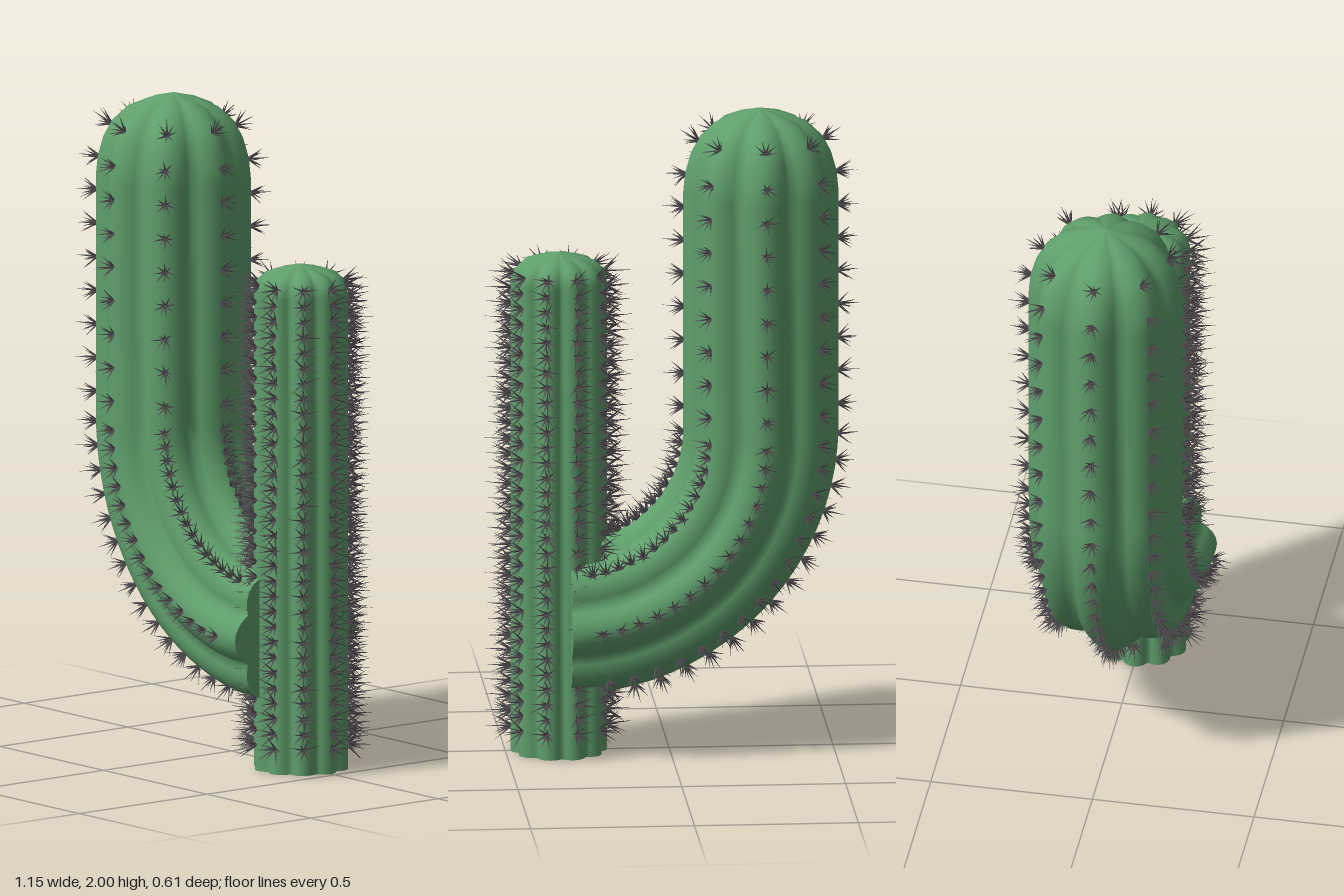
import * as THREE from 'three';
import { mergeGeometries } from 'three/addons/utils/BufferGeometryUtils.js';

const SIDE = new THREE.Vector3(0, 0, -1);
const UP = new THREE.Vector3(0, 1, 0);

// Small seeded generator for spine jitter
let seed = 7;
const rand = () => (seed = (seed * 16807) % 2147483647) / 2147483647;

// A frame on a stem's axis: point, direction and two cross axes
function makeFrame(x, y, tx, ty) {
  const t = new THREE.Vector3(tx, ty, 0);
  return { p: new THREE.Vector3(x, y, 0), t, n: SIDE.clone().cross(t), b: SIDE };
}

const around = (f, a) =>
  f.n.clone().multiplyScalar(Math.cos(a)).addScaledVector(f.b, Math.sin(a));

// Ribbed skin: rings of [distance along the axis, radius], closed at both ends
function ribbedStem(frameAt, rings, ribs, depth) {
  const seg = ribs * 8;
  const pos = [];
  const index = [];
  const addRing = ([s, r]) => {
    const f = frameAt(s);
    for (let j = 0; j < seg; j++) {
      const a = (j / seg) * Math.PI * 2;
      const k = 1 - depth * (1 - Math.abs(Math.cos((a * ribs) / 2)));
      pos.push(...f.p.clone().addScaledVector(around(f, a), r * k).toArray());
    }
  };
  rings.forEach(addRing);
  for (let i = 0; i < rings.length - 1; i++) {
    for (let j = 0; j < seg; j++) {
      const k = (j + 1) % seg;
      const a = i * seg + j, b = i * seg + k;
      index.push(a, b, a + seg, b, b + seg, a + seg);
    }
  }
  // Flat end cap with its own vertices
  const base = pos.length / 3;
  addRing(rings[0]);
  pos.push(...frameAt(rings[0][0]).p.toArray());
  for (let j = 0; j < seg; j++) index.push(base + seg, base + ((j + 1) % seg), base + j);
  const g = new THREE.BufferGeometry();
  g.setAttribute('position', new THREE.Float32BufferAttribute(pos, 3));
  g.setIndex(index);
  g.computeVertexNormals();
  return g;
}

// Star-shaped spine clusters along every rib; stations are [distance, radius, tilt]
function spineClusters(frameAt, stations, ribs, length) {
  const parts = [];
  for (const [s, r, tilt] of stations) {
    const f = frameAt(s);
    for (let i = 0; i < ribs; i++) {
      const a = (i / ribs) * Math.PI * 2;
      const radial = around(f, a);
      const out = radial.clone().multiplyScalar(Math.cos(tilt)).addScaledVector(f.t, Math.sin(tilt));
      const u = around(f, a + Math.PI / 2);
      const v = out.clone().cross(u);
      const root = f.p.clone().addScaledVector(radial, r - 0.004);
      const turn = rand() * Math.PI;
      for (let k = 0; k < 9; k++) {
        // One central spine, eight splayed ones
        const lean = k === 0 ? 0.08 : 0.45 + rand() * 0.4;
        const phi = turn + (k / 8) * Math.PI * 2;
        const dir = out.clone().multiplyScalar(Math.cos(lean))
          .addScaledVector(u, Math.sin(lean) * Math.cos(phi))
          .addScaledVector(v, Math.sin(lean) * Math.sin(phi));
        const len = length * (k === 0 ? 1 : 0.65 + rand() * 0.25);
        const cone = new THREE.ConeGeometry(0.0045, len, 3, 1, true);
        cone.translate(0, len / 2, 0);
        cone.applyQuaternion(new THREE.Quaternion().setFromUnitVectors(UP, dir));
        cone.translate(root.x, root.y, root.z);
        parts.push(cone);
      }
    }
  }
  return mergeGeometries(parts);
}

export function createModel() {
  const green = new THREE.MeshStandardMaterial({ color: 0x5f9f6c });
  const grey = new THREE.MeshStandardMaterial({ color: 0x565256 });
  const group = new THREE.Group();
  const add = (name, geometry, material) => {
    const mesh = new THREE.Mesh(geometry, material);
    mesh.name = name;
    group.add(mesh);
  };

  // Straight thin stem
  const stemFrame = (s) => makeFrame(0.337, s, 0, 1);
  const stemR = 0.147;
  const stemRings = [
    [0, stemR], [0.5, stemR], [1, stemR], [1.47, stemR],
    [1.505, 0.138], [1.53, 0.112], [1.545, 0.07], [1.56, 0.0001],
  ];
  const stemStations = [];
  for (let i = 0; i < 31; i++) stemStations.push([0.08 + i * 0.0473, i > 29 ? 0.138 : stemR, 0]);
  add('stem', ribbedStem(stemFrame, stemRings, 10, 0.14), green);
  add('stemSpines', spineClusters(stemFrame, stemStations, 10, 0.085), grey);

  // Thick arm: a quarter bend, then straight up
  const bend = 0.59, bendLength = (bend * Math.PI) / 2, armR = 0.237;
  const armFrame = (s) => {
    if (s > bendLength) return makeFrame(-0.28, 1 + s - bendLength, 0, 1);
    const a = s / bend;
    return makeFrame(0.31 - bend * Math.sin(a), 1 - bend * Math.cos(a), -Math.cos(a), Math.sin(a));
  };
  const atHeight = (y) => bendLength + y - 1;
  const armRings = [];
  for (let i = 0; i <= 20; i++) armRings.push([(i / 20) * bendLength, armR]);
  for (const [y, r] of [[1.35, armR], [1.74, armR], [1.8, 0.231], [1.86, 0.214],
    [1.91, 0.188], [1.955, 0.14], [1.98, 0.08], [2, 0.0001]]) armRings.push([atHeight(y), r]);
  const armStations = [];
  for (let i = 0; i < 15; i++) armStations.push([0.09 + i * 0.0585, armR, 0]);
  for (let i = 0; i < 8; i++) armStations.push([atHeight(1.07 + i * 0.104), i > 6 ? 0.231 : armR, 0]);
  armStations.push([atHeight(1.9), 0.193, 0.5]);
  add('arm', ribbedStem(armFrame, armRings, 8, 0.15), green);
  add('armSpines', spineClusters(armFrame, armStations, 8, 0.07), grey);

  return group;
}
